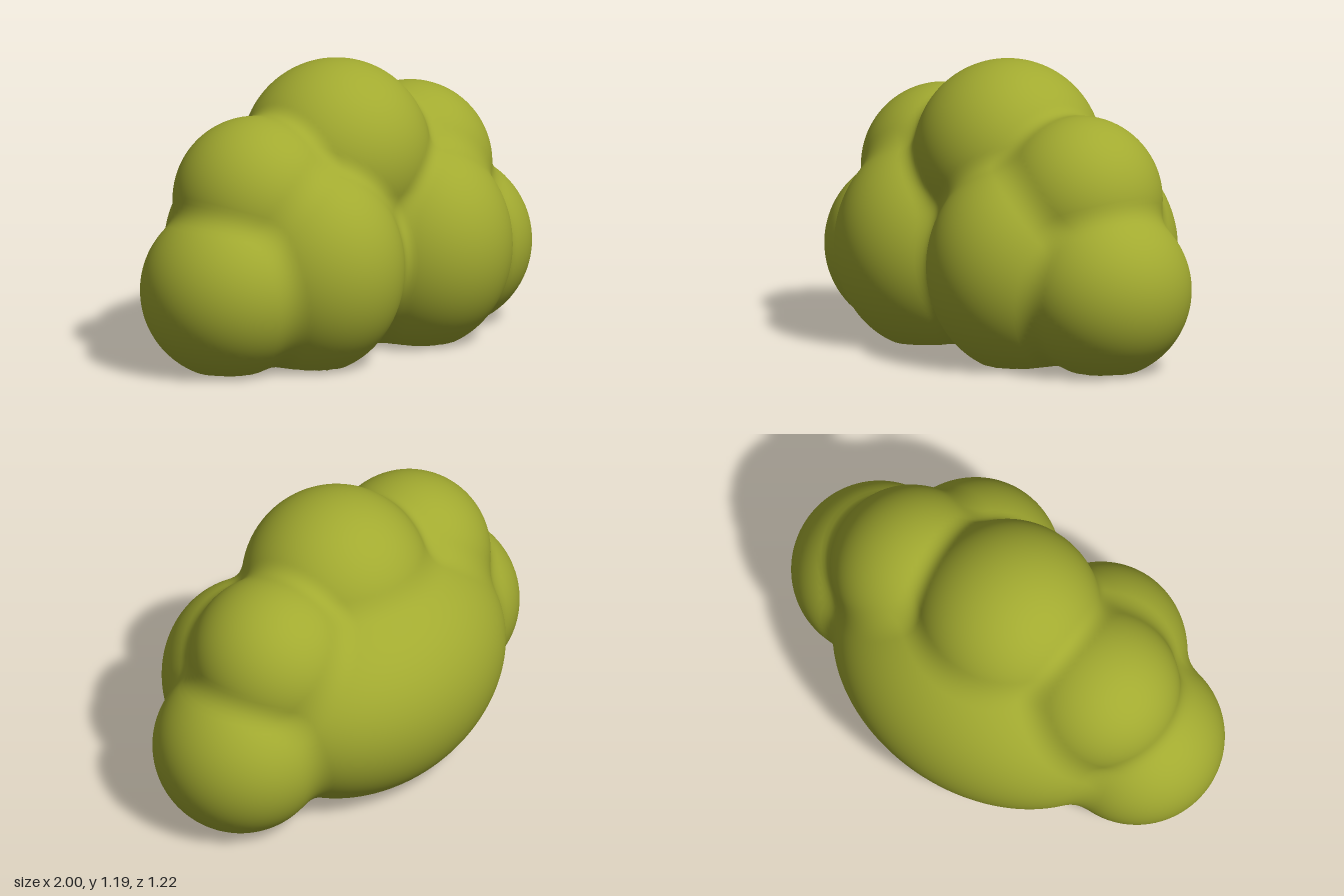
import * as THREE from 'three';

// Rounded lobes of the bush: centre and radii
const lobes = [
  { c: [0, 0.8, 0.04], r: [0.39, 0.39, 0.385] },      // crown
  { c: [0, 0.43, -0.1], r: [0.69, 0.5, 0.51] },       // broad back
  { c: [0.31, 0.4, 0.21], r: [0.37, 0.44, 0.4] },     // front pair
  { c: [-0.32, 0.4, 0.2], r: [0.37, 0.44, 0.4] },
];
for (const s of [1, -1]) {
  lobes.push({ c: [s * 0.46, 0.68, 0.02], r: [0.34, 0.34, 0.335] }); // shoulders
  lobes.push({ c: [s * 0.645, 0.33, 0.04], r: [0.355, 0.36, 0.36] }); // sides
}

const BLEND = 0.06;

// Approximate signed distance to one lobe
function lobeDistance({ c, r }, x, y, z) {
  const a = (x - c[0]) / r[0], b = (y - c[1]) / r[1], d = (z - c[2]) / r[2];
  const k0 = Math.sqrt(a * a + b * b + d * d);
  const k1 = Math.sqrt((a / r[0]) ** 2 + (b / r[1]) ** 2 + (d / r[2]) ** 2);
  return k1 < 1e-6 ? -Math.min(...r) : k0 * (k0 - 1) / k1;
}

// All lobes softly joined
function bushDistance(x, y, z) {
  let dist = 10;
  for (const lobe of lobes) {
    const d = lobeDistance(lobe, x, y, z);
    const h = Math.max(BLEND - Math.abs(dist - d), 0) / BLEND;
    dist = Math.min(dist, d) - h * h * BLEND / 4;
  }
  return dist;
}

// Push a fine sphere out from the core to the joined lobes, cut flat at the ground
function foliageGeometry() {
  const geo = new THREE.IcosahedronGeometry(1, 44);
  const pos = geo.attributes.position, nor = geo.attributes.normal;
  const core = new THREE.Vector3(0, 0.4, 0);
  const dir = new THREE.Vector3(), p = new THREE.Vector3(), n = new THREE.Vector3();
  const e = 0.002;
  for (let i = 0; i < pos.count; i++) {
    dir.fromBufferAttribute(pos, i).normalize();
    let near = 0, far = 1.4;
    for (let k = 0; k < 18; k++) {
      const mid = (near + far) / 2;
      p.copy(core).addScaledVector(dir, mid);
      if (p.y > 0 && bushDistance(p.x, p.y, p.z) < 0) near = mid;
      else far = mid;
    }
    p.copy(core).addScaledVector(dir, near);
    if (p.y < 0.0005) {
      p.y = 0;
      n.set(0, -1, 0);
    } else {
      n.set(
        bushDistance(p.x + e, p.y, p.z) - bushDistance(p.x - e, p.y, p.z),
        bushDistance(p.x, p.y + e, p.z) - bushDistance(p.x, p.y - e, p.z),
        bushDistance(p.x, p.y, p.z + e) - bushDistance(p.x, p.y, p.z - e)
      ).normalize();
    }
    pos.setXYZ(i, p.x, p.y, p.z);
    nor.setXYZ(i, n.x, n.y, n.z);
  }
  return geo;
}

export function createModel() {
  const group = new THREE.Group();
  group.name = 'bush';
  const leafGreen = new THREE.MeshStandardMaterial({ color: 0xa2aa30 });
  leafGreen.name = 'leafGreen';
  const foliage = new THREE.Mesh(foliageGeometry(), leafGreen);
  foliage.name = 'foliage';
  group.add(foliage);
  return group;
}
